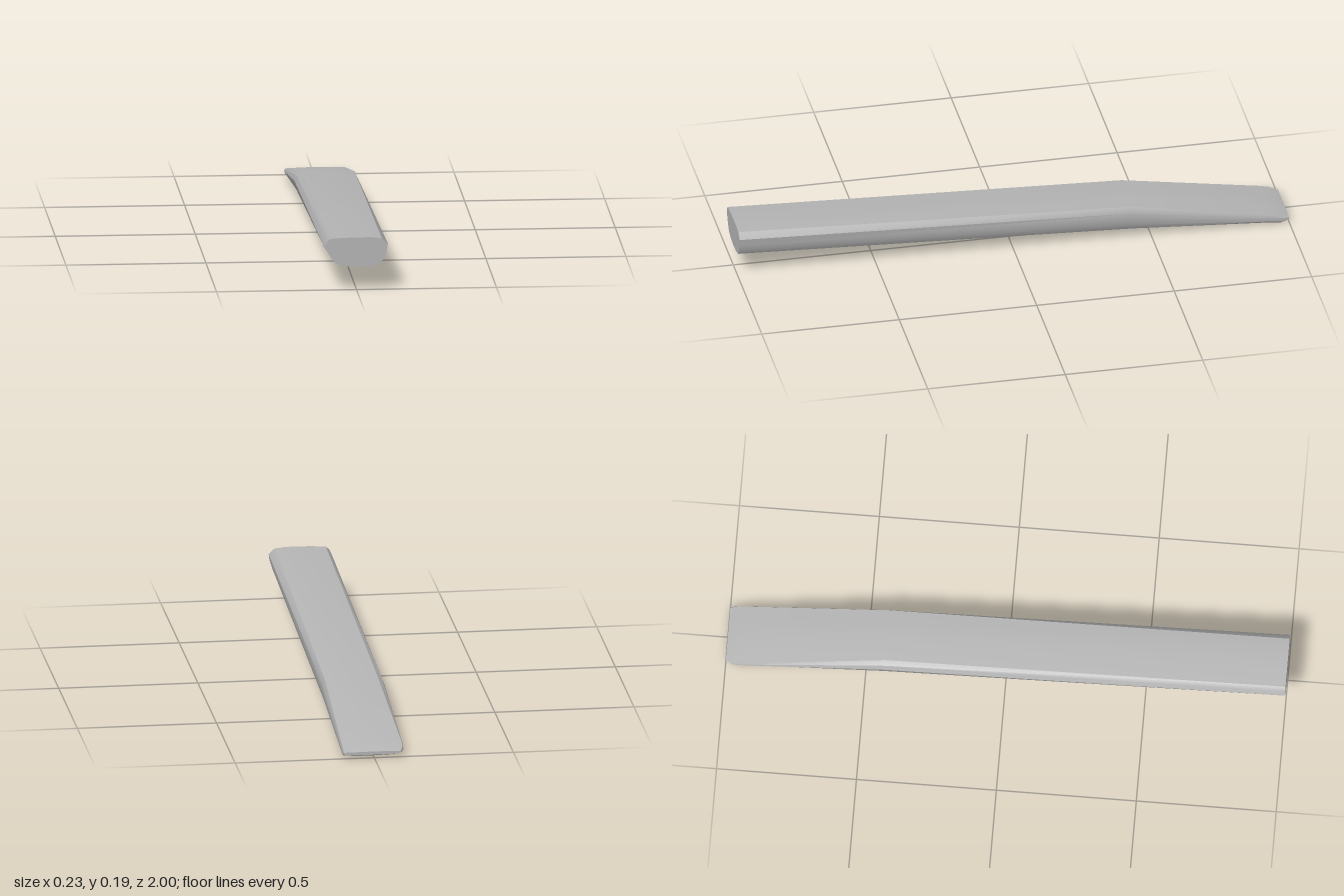
import * as THREE from 'three';
import { toCreasedNormals } from 'three/addons/utils/BufferGeometryUtils.js';

// Outlines as [x, y] pairs, clockwise seen from the front,
// starting at the right flank and passing over the top
const butt = [-.115, .155, -.106, .174, -.093, .186, -.04, .189, 0, .19, .05, .19, .09, .186, .112, .166,
  .108, .14, .1, .115, .085, .094, .05, .085, 0, .082, -.045, .086, -.08, .1, -.1, .133];
const shoulder = [-.113, .098, -.105, .118, -.088, .13, -.04, .132, 0, .133, .05, .133, .102, .129, .111, .106,
  .111, .08, .108, .058, .098, .037, .05, .027, 0, .025, -.045, .028, -.08, .036, -.106, .066];
const bevelEnd = [-.111, .026, -.11, .032, -.107, .037, -.04, .04, 0, .041, .05, .04, .108, .038, .111, .031,
  .111, .022, .111, .014, .105, .007, .05, .004, 0, .004, -.045, .005, -.08, .007, -.105, .015];

// Turns an outline into 3D points at z
function ring(outline, z) {
  const points = [];
  for (let i = 0; i < outline.length; i += 2) points.push(new THREE.Vector3(outline[i], outline[i + 1], z));
  return points;
}

// Thins the end of the bevel towards the edge; the right corner is rounder than the left
function thinned(z, base, height, rightWidth, leftWidth) {
  return ring(bevelEnd, z).map(({ x, y }) =>
    new THREE.Vector3(x * (x < 0 ? rightWidth : leftWidth), base + (y - .004) * height, z));
}

// Skins the rings and closes both ends
function loft(rings) {
  const n = rings[0].length;
  const index = [];
  for (let s = 0; s < rings.length - 1; s++) {
    for (let i = 0; i < n; i++) {
      const a = s * n + i, b = s * n + (i + 1) % n;
      index.push(a, b, a + n, b, b + n, a + n);
    }
  }
  const last = (rings.length - 1) * n;
  for (let i = 1; i < n - 1; i++) {
    index.push(0, i + 1, i);
    index.push(last, last + i, last + i + 1);
  }
  const geometry = new THREE.BufferGeometry().setFromPoints(rings.flat());
  geometry.setIndex(index);
  return toCreasedNormals(geometry, 0.5);
}

export function createModel() {
  const group = new THREE.Group();
  group.name = 'chisel';
  const stone = new THREE.MeshStandardMaterial({ color: 0xb4b4b4 });
  stone.name = 'grey stone';

  // Long bar with a bevel ground down to the cutting edge
  const blade = new THREE.Mesh(loft([
    ring(butt, 1),
    ring(shoulder, -.43),
    ring(bevelEnd, -.93),
    thinned(-.97, 0, .89, .98, 1),
    thinned(-1, .011, .33, .87, .97),
  ]), stone);
  blade.name = 'bevelledBlade';
  group.add(blade);
  return group;
}
